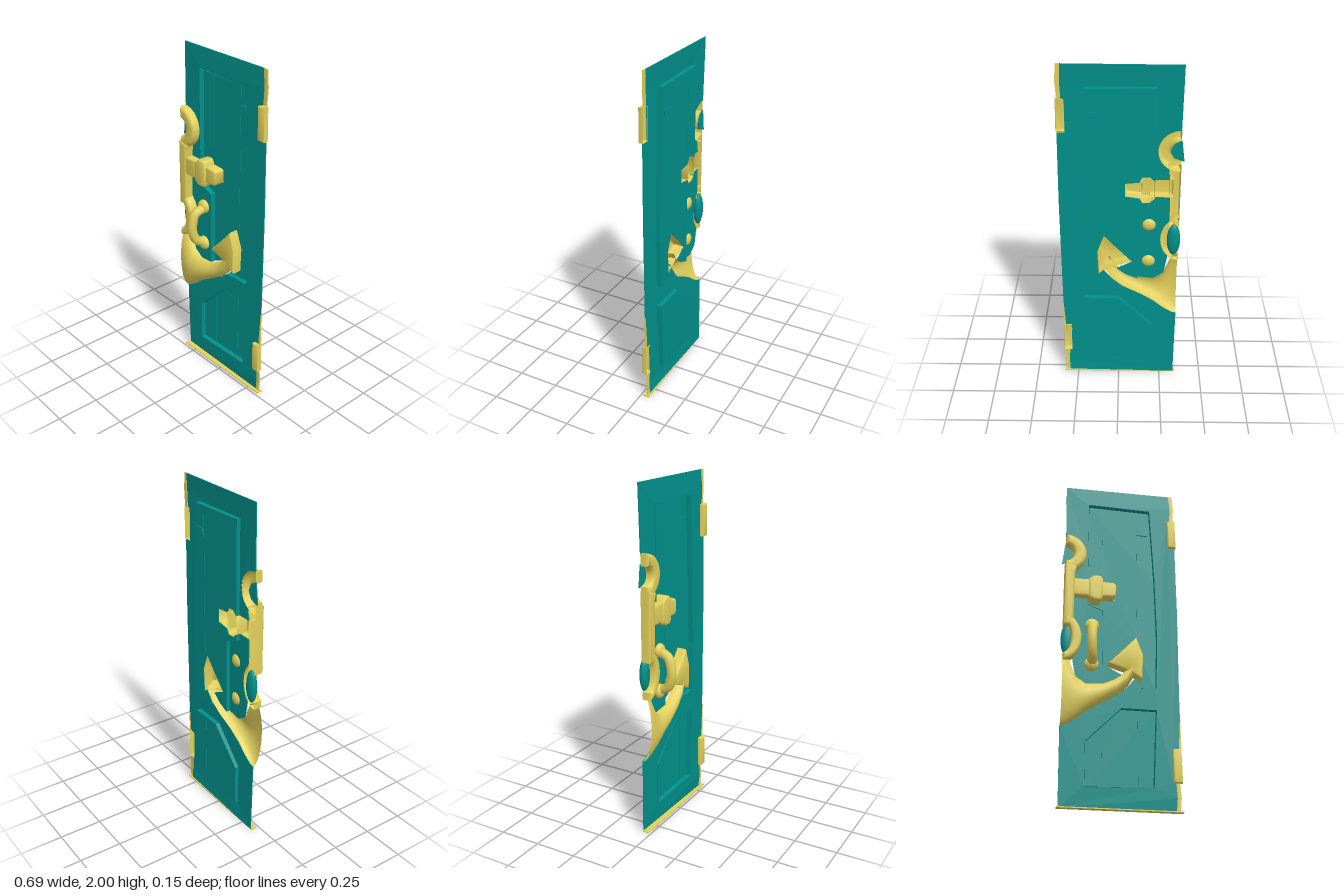
import * as THREE from 'three';
import { toCreasedNormals } from 'three/addons/utils/BufferGeometryUtils.js';

export function createModel() {
  const root = new THREE.Group();
  root.name = 'anchorDoor';
  const teal = new THREE.MeshStandardMaterial({ name: 'teal paint', color: 0x00908a, side: THREE.DoubleSide });
  const gold = new THREE.MeshStandardMaterial({ name: 'yellow metal', color: 0xe2d05c, side: THREE.DoubleSide });

  const add = (name, geo, mat, x = 0, y = 0, z = 0) => {
    const m = new THREE.Mesh(geo, mat);
    m.name = name;
    m.position.set(x, y, z);
    root.add(m);
    return m;
  };
  const v2 = pts => pts.map(p => new THREE.Vector2(p[0], p[1]));
  const rect = (x0, y0, x1, y1) => [[x0, y0], [x1, y0], [x1, y1], [x0, y1]];
  const fromPositions = pos => {
    const g = new THREE.BufferGeometry();
    g.setAttribute('position', new THREE.Float32BufferAttribute(pos, 3));
    return g;
  };

  // Flat plate between two depths, with optional holes
  const plate = (pts, z0, z1, holes = []) => {
    const s = new THREE.Shape(v2(pts));
    holes.forEach(h => s.holes.push(new THREE.Path(v2(h))));
    return new THREE.ExtrudeGeometry(s, { depth: z1 - z0, bevelEnabled: false }).translate(0, 0, z0);
  };

  // Pressed shell: rounded front and side walls, hollow and open at the back
  const shell = (pts, z0, z1, bevel) => {
    const src = new THREE.ExtrudeGeometry(new THREE.Shape(v2(pts)), {
      depth: z1 - z0 - bevel, bevelSize: bevel, bevelThickness: bevel, bevelOffset: -bevel, bevelSegments: 3,
    }).translate(0, 0, z0).attributes.position;
    const pos = [];
    for (let i = 0; i < src.count; i += 3) {
      if (Math.max(src.getZ(i), src.getZ(i + 1), src.getZ(i + 2)) < z0 + 1e-5) continue;
      for (let k = i; k < i + 3; k++) pos.push(src.getX(k), src.getY(k), src.getZ(k));
    }
    return toCreasedNormals(fromPositions(pos), 0.9);
  };

  // Clockwise elliptical arc between two angles in degrees
  const arc = (cx, cy, rx, ry, from, to, n = 12) => Array.from({ length: n + 1 }, (_, i) => {
    const a = THREE.MathUtils.degToRad(from + (to - from) * i / n);
    return [cx + rx * Math.cos(a), cy + ry * Math.sin(a)];
  });

  // Edges where the frame, the sunken panels and the anchor meet
  const panelEdge = [[-0.2, 1.345], [-0.2, 1.88], [0.175, 1.875], [0.2, 1.4], [0.21, 1.0], [0.2, 0.7], [0.03, 0.692]];
  const innerEdge = [[-0.11, 0.71], [-0.11, 1.16], [-0.2, 1.2], [-0.2, 1.235]];
  const lower = [[-0.2, 0.12], [0.18, 0.13], [0.2, 0.57], [0, 0.57], [-0.2, 0.37]];
  const frameOutline = [
    ...panelEdge,
    [-0.02, 0.65], [-0.12, 0.59], [-0.2, 0.54], [-0.26, 0.49], [-0.315, 0.455], [-0.34, 0.45],
    [-0.335, 0.005], [0.3, 0.005], [0.305, 0.08], [0.3, 0.16], [0.285, 0.16], [0.285, 0.35], [0.328, 0.35],
    [0.332, 1.2], [0.328, 1.62], [0.285, 1.62], [0.283, 1.805], [0.3, 1.81], [0.305, 1.9], [0.3, 2], [-0.34, 2],
    ...arc(-0.335, 1.515, 0.122, 0.122, 90, -60), [-0.282, 1.345],
  ];
  const lockOutline = [...innerEdge, [-0.285, 1.235], [-0.285, 1.09],
    ...arc(-0.338, 0.965, 0.102, 0.138, 55, -55, 8), [-0.26, 0.74], [-0.2, 0.7]];
  const panelOutline = [
    ...panelEdge,
    [0.04, 0.71], [0.085, 0.765], [0.115, 0.742], [0.122, 0.89], [0.082, 0.998], [0.03, 0.94],
    [-0.078, 0.825], [0.01, 0.78], [-0.04, 0.74],
    ...innerEdge,
    [-0.17, 1.21], [-0.13, 1.21], [-0.115, 1.238], [-0.035, 1.25], [-0.035, 1.33], [-0.115, 1.338], [-0.13, 1.37], [-0.17, 1.37],
  ];

  // Frame sheet, slightly turned, top and bottom edges falling back
  const sheet = (name, outline, holes) => {
    const g = plate(outline, -0.043, -0.037, holes), p = g.attributes.position;
    for (let i = 0; i < p.count; i++) {
      const y = p.getY(i), drop = y > 1.95 || y < 0.03 ? 0.006 : 0;
      p.setZ(i, p.getZ(i) + 0.02 * p.getX(i) - drop);
    }
    g.computeVertexNormals();
    add(name, g, teal);
  };
  sheet('frame', frameOutline, [lower]);
  sheet('lockPlate', lockOutline, []);
  add('ringBacking', plate([[-0.34, 1.58], [-0.3, 1.56], [-0.28, 1.515], [-0.3, 1.475], [-0.355, 1.455]], -0.049, -0.043), teal);

  // Sunken panels with plank seams
  add('upperPanel', plate(panelOutline, -0.069, -0.064), teal);
  add('lowerPanel', plate(lower, -0.069, -0.064), teal);
  for (const [x, y0, y1] of [[-0.11, 1.37, 1.878], [0.1, 0.97, 1.874], [-0.1, 0.125, 0.468], [0.1, 0.13, 0.568]])
    add('plankSeam', plate(rect(x - 0.003, y0, x + 0.003, y1), -0.071, -0.062), teal);
  add('peepSlot', plate([[0.1, 1.71], [0.16, 1.71], [0.17, 1.75], [0.11, 1.75]], -0.074, -0.056), teal);

  // Walls of the recesses
  const wall = (name, pts) => {
    const pos = [];
    for (let i = 1; i < pts.length; i++) {
      const [a, b] = pts[i - 1], [c, d] = pts[i];
      pos.push(a, b, -0.034, a, b, -0.069, c, d, -0.034, c, d, -0.034, a, b, -0.069, c, d, -0.069);
    }
    const g = fromPositions(pos);
    g.computeVertexNormals();
    add(name, g, teal);
  };
  wall('upperRecessWall', panelEdge);
  wall('innerRecessWall', innerEdge);
  wall('lowerRecessWall', [...lower, lower[0]]);

  // Anchor ring and bowed shank, both cut by the door edge
  const band = (cx, cy, ox, oy, ix, iy) => [...arc(cx, cy, ox, oy, 90, -90, 16), ...arc(cx, cy, ix, iy, -90, 90, 16)];
  add('anchorRing', shell(band(-0.337, 1.515, 0.124, 0.122, 0.05, 0.055), -0.046, 0.006, 0.02), gold);
  add('shankBow', shell(band(-0.338, 0.965, 0.103, 0.14, 0.045, 0.095), -0.046, 0.012, 0.016), gold);
  const boss = add('lockBoss', new THREE.SphereGeometry(1, 14, 10), teal, -0.312, 0.962, -0.044);
  boss.scale.set(0.038, 0.1, 0.026);

  // Shank, stock with collar and end block
  add('anchorShank', shell([[-0.34, 1.04], [-0.285, 1.04], [-0.28, 1.38], [-0.27, 1.42], [-0.34, 1.44]], -0.046, 0.012, 0.014), gold);
  add('anchorStock', shell(rect(-0.3, 1.235, -0.17, 1.345), -0.046, 0.004, 0.014), gold);
  add('stockCollar', shell([[-0.2, 1.23], [-0.17, 1.21], [-0.13, 1.21], [-0.115, 1.235], [-0.115, 1.35], [-0.13, 1.37],
    [-0.17, 1.37], [-0.2, 1.345]], -0.066, 0.012, 0.012), gold);
  add('stockEnd', shell([[-0.13, 1.24], [-0.05, 1.243], [-0.035, 1.26], [-0.035, 1.325], [-0.05, 1.335], [-0.13, 1.338]],
    -0.066, -0.002, 0.01), gold);

  // Curved anchor arm: domed shell; each station is upper x,y, lower x,y, front z, rim z
  const stations = [
    [-0.34, 0.87, -0.34, 0.45, 0.012, -0.045],
    [-0.305, 0.85, -0.315, 0.455, 0.02, -0.045],
    [-0.26, 0.74, -0.26, 0.49, 0.02, -0.045],
    [-0.2, 0.7, -0.2, 0.54, 0.016, -0.043],
    [-0.1, 0.71, -0.12, 0.59, 0.012, -0.045],
    [-0.04, 0.74, -0.02, 0.65, 0.006, -0.055],
    [0.01, 0.78, 0.04, 0.71, 0.002, -0.066],
    [0.045, 0.84, 0.085, 0.79, -0.004, -0.066],
  ];
  const N = 12, pos = [], idx = [];
  stations.forEach(([ux, uy, lx, ly, zf, zb], s) => {
    for (let k = 0; k <= N; k++) {
      const t = (1 - Math.cos(Math.PI * k / N)) / 2;
      const dome = Math.pow(Math.max(0, Math.sin(Math.PI * t)), 0.45);
      pos.push(ux + (lx - ux) * t, uy + (ly - uy) * t, zb + (zf - zb) * dome);
      const a = (s - 1) * (N + 1) + k, c = a + N + 1;
      if (s && k < N) idx.push(a, a + 1, c, a + 1, c + 1, c);
    }
  });
  const armGeo = fromPositions(pos);
  armGeo.setIndex(idx);
  armGeo.computeVertexNormals();
  add('anchorArm', armGeo, gold);
  add('anchorFluke', shell([[-0.078, 0.825], [0.02, 0.795], [0.115, 0.742], [0.122, 0.89], [0.082, 0.998], [0.03, 0.94]],
    -0.066, -0.004, 0.012), gold);

  // Pull handle with two mounts that show through the back
  const grip = new THREE.CatmullRomCurve3([[1.05, -0.02], [1.03, 0.025], [0.98, 0.045], [0.92, 0.047], [0.86, 0.025], [0.83, -0.02]]
    .map(([y, z], i) => new THREE.Vector3(-0.17 - 0.012 * Math.sin(i / 5 * Math.PI), y, z)));
  add('handleGrip', new THREE.TubeGeometry(grip, 20, 0.028, 10), gold);
  for (const y of [1.06, 0.82]) {
    const m = add('handleMount', new THREE.SphereGeometry(0.042, 14, 10), gold, -0.172, y, -0.034);
    m.scale.z = 0.7;
  }

  // Hinges and worn metal edging
  for (const y of [0.16, 1.62])
    add('hinge', shell([[0.285, y], [0.333, y], [0.33, y + 0.19], [0.282, y + 0.185]], -0.04, -0.01, 0.007), gold);
  for (const [y0, y1] of [[0.005, 0.16], [1.81, 2]])
    add('edgePlate', plate([[0.3, y0], [0.322, y0], [0.328, (y0 + y1) / 2], [0.322, y1], [0.298, y1], [0.304, (y0 + y1) / 2]],
      -0.041, -0.034), gold);
  add('sideTrim', plate([[0.318, 0.35], [0.332, 0.35], [0.331, 0.56]], -0.038, -0.027), gold);
  add('bottomTrim', plate(rect(-0.345, 0, 0.335, 0.006), -0.052, -0.015), gold);
  return root;
}
